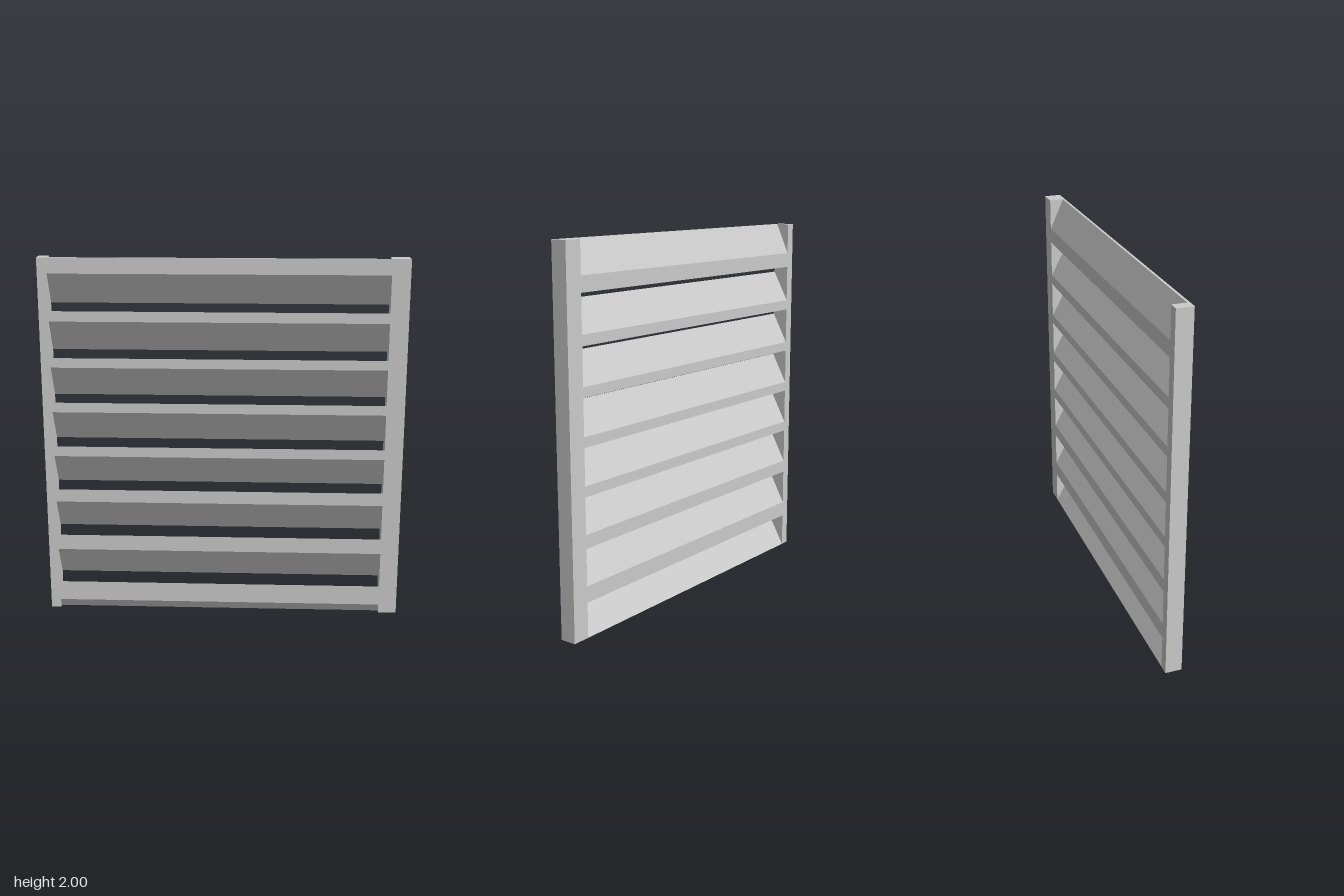
import * as THREE from 'three';

const HALF_DEPTH = 0.045;   // frame half thickness
const INNER_RIGHT = -0.932; // inner faces of the two stiles
const INNER_LEFT = 0.885;
const OUTER = 0.985;
const DROP = 0.167;         // fall of a slat from front to back

export function createModel() {
  const group = new THREE.Group();
  group.name = 'louvredPanel';
  const material = new THREE.MeshStandardMaterial({ color: 0xcccccc, flatShading: true });

  // Upright stile between two x positions
  function addStile(name, x0, x1) {
    const mesh = new THREE.Mesh(new THREE.BoxGeometry(x1 - x0, 2, 2 * HALF_DEPTH), material);
    mesh.position.set((x0 + x1) / 2, 1, 0);
    mesh.name = name;
    group.add(mesh);
  }

  // Slat from a [z, y] section, extruded along x between the stiles
  function addSlat(name, section) {
    const shape = new THREE.Shape(section.map(([z, y]) => new THREE.Vector2(-z, y)));
    const geometry = new THREE.ExtrudeGeometry(shape, {
      depth: INNER_LEFT - INNER_RIGHT, bevelEnabled: false,
    });
    geometry.rotateY(Math.PI / 2); // shape x becomes -z, depth becomes +x
    geometry.translate(INNER_RIGHT, 0, 0);
    const mesh = new THREE.Mesh(geometry, material);
    mesh.name = name;
    group.add(mesh);
  }

  addStile('rightStile', -OUTER, INNER_RIGHT);
  addStile('leftStile', INNER_LEFT, OUTER);

  const f = HALF_DEPTH, b = -HALF_DEPTH;

  // Top slat, cut flat along the top edge
  addSlat('topSlat', [[f, 1.915], [f, 2], [0.032, 2], [b, 1.83], [b, 1.748]]);

  // Middle slats: [top, bottom] of the front face, sloping down to the back
  const slats = [
    [1.715, 1.659], [1.46, 1.407], [1.212, 1.158],
    [0.963, 0.907], [0.713, 0.641], [0.443, 0.356],
  ];
  slats.forEach(([top, bottom], i) => {
    addSlat(`slat${i + 1}`, [[f, bottom], [f, top], [b, top - DROP], [b, bottom - DROP]]);
  });

  // Bottom slat, cut flat along the bottom edge
  addSlat('bottomSlat', [[f, 0.048], [f, 0.159], [b, 0], [0.019, 0]]);

  return group;
}
